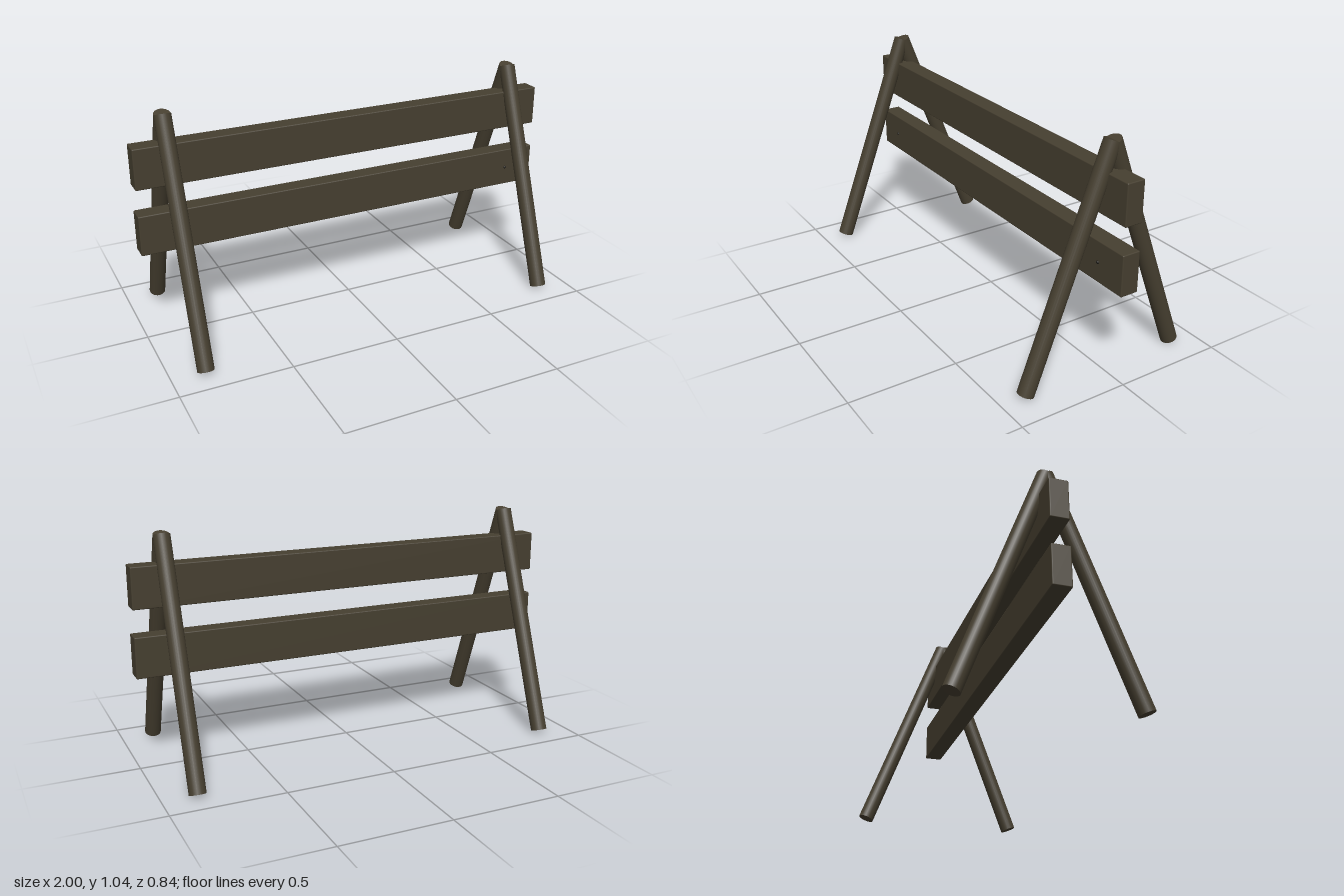
import * as THREE from 'three';
import { RoundedBoxGeometry } from 'three/addons/geometries/RoundedBoxGeometry.js';

export function createModel() {
  const model = new THREE.Group();
  const wood = new THREE.MeshStandardMaterial({ color: 0x463f30 });
  wood.name = 'dark wood';
  const iron = new THREE.MeshStandardMaterial({ color: 0x1c1a16 });
  iron.name = 'dark iron';

  const add = (name, geometry, material, x, y, z) => {
    const mesh = new THREE.Mesh(geometry, material);
    mesh.name = name;
    mesh.position.set(x, y, z);
    model.add(mesh);
    return mesh;
  };

  // two horizontal planks with slightly eased edges
  const plank = new RoundedBoxGeometry(2, 0.184, 0.084, 2, 0.005);
  add('upperPlank', plank, wood, 0, 0.821, 0);
  add('lowerPlank', plank, wood, 0, 0.518, 0);

  // round legs, crossing in pairs at the top
  const spread = 0.384, rise = 1.018;
  const leg = new THREE.CylinderGeometry(0.037, 0.037, Math.hypot(spread, rise), 24);
  const bolt = new THREE.SphereGeometry(0.007, 12, 8);
  for (const side of [1, -1]) {
    const sideName = side > 0 ? 'left' : 'right';
    for (const end of [1, -1]) {
      const mesh = add(sideName + (end > 0 ? 'FrontLeg' : 'BackLeg'), leg, wood,
        side * 0.851, 0.014 + rise / 2, end * spread / 2);
      mesh.rotation.x = -end * Math.atan2(spread, rise);
    }
    // small bolt head on the front of the lower plank
    add(sideName + 'Bolt', bolt, iron, side * 0.85, 0.516, 0.042);
  }
  return model;
}
